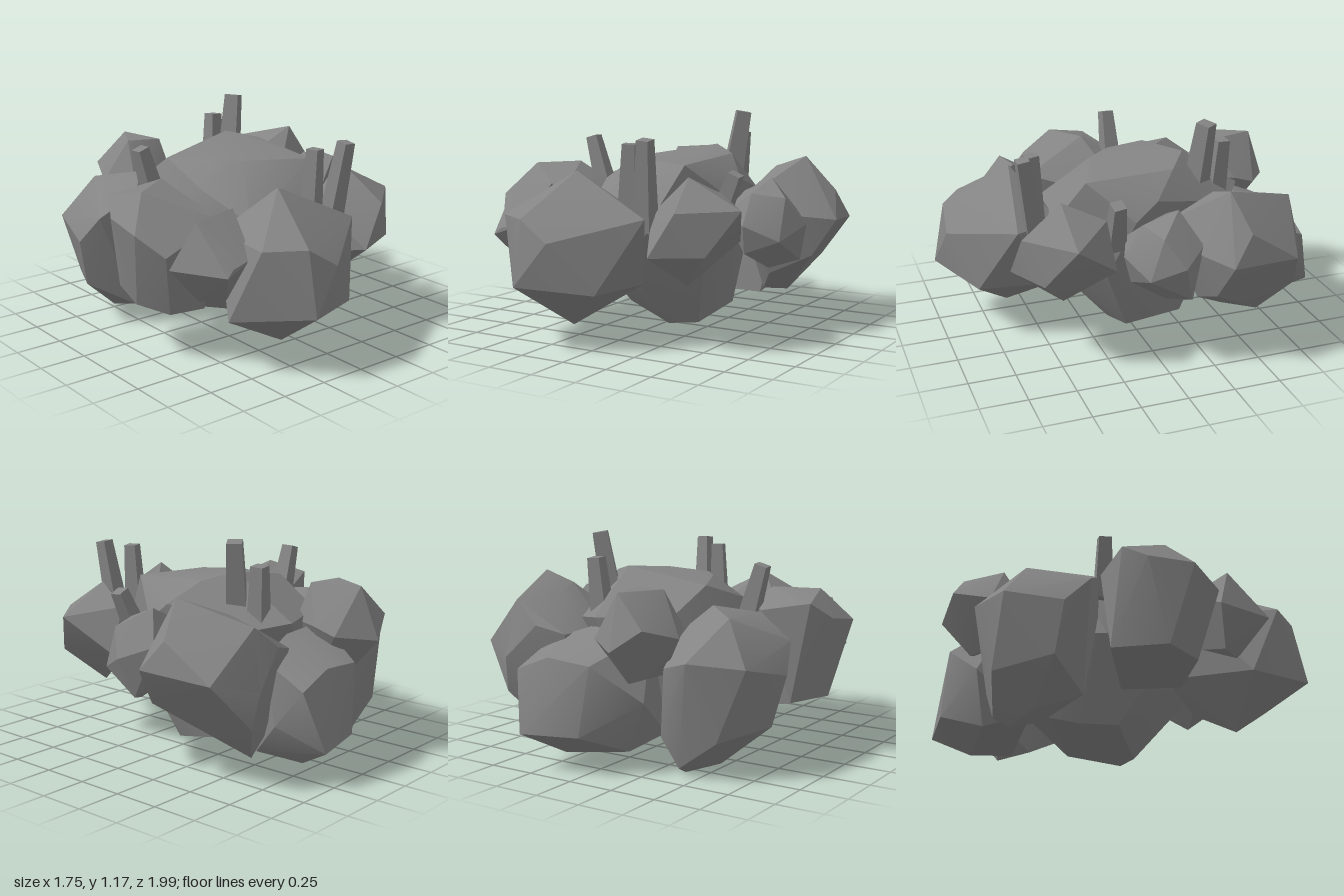
import * as THREE from 'three';
import { ConvexGeometry } from 'three/addons/geometries/ConvexGeometry.js';
import { toCreasedNormals } from 'three/addons/utils/BufferGeometryUtils.js';

const material = new THREE.MeshStandardMaterial({ color: 0x848484 });

// Shallow edges are smoothed, clear edges stay sharp.
function stone(name, geometry) {
  const mesh = new THREE.Mesh(toCreasedNormals(geometry, 0.45), material);
  mesh.name = name;
  return mesh;
}

// A faceted boulder: the convex hull of a few corner points (x, y, z).
function boulder(name, ...corners) {
  return stone(name, new ConvexGeometry(corners.map((c) => new THREE.Vector3(...c))));
}

// A leaning square spike that narrows towards its tip.
function crystal(name, base, tip, width, turn) {
  const from = new THREE.Vector3(...base);
  const axis = new THREE.Vector3(...tip).sub(from);
  const length = axis.length();
  const geometry = new THREE.CylinderGeometry(width * 0.55, width * 0.8, length, 4);
  geometry.rotateY(Math.PI / 4 + turn);
  geometry.translate(0, length / 2, 0);
  const mesh = stone(name, geometry);
  mesh.quaternion.setFromUnitVectors(new THREE.Vector3(0, 1, 0), axis.normalize());
  mesh.position.copy(from);
  return mesh;
}

export function createModel() {
  const group = new THREE.Group();
  group.name = 'rockCluster';

  // Large central rock
  group.add(boulder('coreRock',
    [-0.3, 0.9, -0.23], [-0.33, 0.8, 0.11], [-0.19, 0.92, 0.02], [-0.08, 0.92, 0.15],
    [0.27, 0.91, 0.29], [0.3, 0.94, -0.18], [0.15, 0.98, -0.29], [-0.25, 0.75, -0.5],
    [0.12, 0.75, -0.63], [0.3, 0.72, -0.5], [0.42, 0.82, -0.05], [0.43, 0.72, 0.07],
    [0.18, 0.66, 0.45], [-0.24, 0.66, 0.42], [-0.47, 0.5, -0.08], [-0.36, 0.55, -0.4],
    [0.34, 0.4, 0.2], [0.07, 0.02, 0.11], [0.22, 0.03, 0.05], [0.28, 0.1, -0.24],
    [-0.24, 0.09, 0.0], [-0.22, 0.1, -0.2], [-0.34, 0.3, 0.15], [0, 0.34, 0.4],
    [-0.1, 0.2, -0.5]));

  // Big front rock
  group.add(boulder('frontRock',
    [-0.2, 0.885, 0.58], [0.25, 0.67, 0.65], [-0.13, 0.56, 0.95], [-0.3, 0.667, 0.93],
    [-0.49, 0.665, 0.81], [-0.3, 0.335, 0.995], [0.07, 0.3, 0.83], [-0.2, 0.085, 0.62],
    [-0.565, 0.28, 0.65], [-0.42, 0.65, 0.38], [0.08, 0.64, 0.38], [0.12, 0.3, 0.45],
    [-0.25, 0.35, 0.25]));

  // Left side, seen from the front: side, rear and small front rocks
  group.add(boulder('sideRock',
    [-0.8, 0.82, -0.03], [-0.75, 0.87, 0.19], [-0.54, 0.88, 0.06], [-0.4, 0.78, 0.0],
    [-0.57, 0.78, -0.12], [-0.87, 0.735, 0.09], [-0.88, 0.7, 0.32], [-0.79, 0.6, 0.45],
    [-0.43, 0.72, 0.41], [-0.31, 0.65, 0.15], [-0.8, 0.295, 0.2], [-0.7, 0.26, 0.35],
    [-0.45, 0.22, 0.3], [-0.72, 0.3, -0.08], [-0.4, 0.22, 0.0]));
  group.add(boulder('rearSideRock',
    [-0.6, 0.79, -0.5], [-0.41, 0.82, -0.34], [-0.57, 0.77, -0.13], [-0.77, 0.65, -0.18],
    [-0.51, 0.6, -0.755], [-0.35, 0.55, -0.7], [-0.755, 0.57, -0.605], [-0.82, 0.5, -0.31],
    [-0.76, 0.24, -0.35], [-0.62, 0.2, -0.65], [-0.53, 0.04, -0.45], [-0.39, 0, -0.56],
    [-0.4, 0.04, -0.64], [-0.32, 0.2, -0.68], [-0.22, 0.1, -0.4], [-0.2, 0.5, -0.45],
    [-0.28, 0.7, -0.4], [-0.4, 0.6, -0.12], [-0.55, 0.12, -0.2]));
  group.add(boulder('smallFrontRock',
    [-0.78, 0.54, 0.46], [-0.66, 0.775, 0.52], [-0.42, 0.8, 0.5], [-0.59, 0.575, 0.72],
    [-0.63, 0.54, 0.73], [-0.46, 0.6, 0.7], [-0.52, 0.36, 0.58], [-0.63, 0.36, 0.5],
    [-0.5, 0.7, 0.33], [-0.42, 0.45, 0.42]));

  // Right side, seen from the front: rear, middle and front rocks
  group.add(boulder('rearLargeRock',
    [0.67, 0.93, -0.34], [0.5, 0.87, -0.32], [0.45, 0.83, -0.5], [0.25, 0.66, -0.71],
    [0.4, 0.7, -0.76], [0.55, 0.82, -0.73], [0.58, 0.52, -0.795], [0.8, 0.57, -0.67],
    [0.82, 0.75, -0.4], [0.875, 0.6, -0.285], [0.71, 0.62, -0.18], [0.38, 0.68, -0.1],
    [0.24, 0.65, -0.39], [0.75, 0.4, -0.25], [0.6, 0.33, -0.76], [0.44, 0.12, -0.63],
    [0.37, 0.15, -0.45], [0.5, 0.28, -0.25], [0.27, 0.3, -0.65]));
  group.add(boulder('middleRock',
    [0.58, 0.83, -0.1], [0.55, 0.76, 0.08], [0.72, 0.74, 0.03], [0.68, 0.66, -0.2],
    [0.8, 0.6, -0.06], [0.72, 0.52, 0.1], [0.74, 0.4, -0.12], [0.55, 0.6, 0.18],
    [0.54, 0.45, 0.14], [0.6, 0.355, -0.03], [0.41, 0.65, 0.12], [0.42, 0.45, -0.1],
    [0.42, 0.75, -0.1], [0.45, 0.6, -0.2]));
  group.add(boulder('frontSideRock',
    [0.39, 0.87, 0.46], [0.685, 0.72, 0.46], [0.435, 0.715, 0.68], [0.3, 0.49, 0.71],
    [0.56, 0.5, 0.6], [0.385, 0.32, 0.455], [0.17, 0.46, 0.5], [0.46, 0.77, 0.24],
    [0.56, 0.53, 0.22], [0.2, 0.68, 0.5], [0.25, 0.6, 0.28]));

  // Rear rocks: a broad low one and a small one perched beside it
  group.add(boulder('rearLowRock',
    [-0.05, 0.56, -0.9], [0.2, 0.58, -0.91], [0.4, 0.5, -0.91], [0.32, 0.19, -0.995],
    [0.41, 0.3, -0.75], [0.0, 0.2, -0.93], [0.2, 0.06, -0.77], [-0.14, 0.1, -0.7],
    [0.3, 0.1, -0.55], [-0.26, 0.37, -0.74], [0.15, 0.7, -0.62], [-0.2, 0.7, -0.58],
    [0.38, 0.62, -0.65], [-0.2, 0.15, -0.45]));
  group.add(boulder('perchedRock',
    [-0.3, 0.925, -0.62], [-0.18, 0.925, -0.84], [-0.12, 0.92, -0.57], [-0.2, 0.65, -0.94],
    [-0.35, 0.76, -0.88], [-0.43, 0.7, -0.68], [-0.34, 0.72, -0.5], [-0.24, 0.65, -0.475],
    [-0.08, 0.72, -0.51], [0, 0.72, -0.68], [-0.01, 0.68, -0.8], [-0.2, 0.47, -0.78],
    [-0.3, 0.5, -0.62], [-0.12, 0.5, -0.65]));

  // Crystals: base, tip, width, turn
  group.add(
    crystal('tallCrystal', [0.2, 0.7, -0.34], [0.27, 1.16, -0.375], 0.1, 0.6),
    crystal('rearCrystal', [0.18, 0.6, -0.46], [0.21, 1.04, -0.49], 0.09, 0.1),
    crystal('frontCrystal', [0.07, 0.6, 0.52], [0.09, 1.03, 0.53], 0.085, 0.3),
    crystal('frontTallCrystal', [0.19, 0.6, 0.54], [0.23, 1.06, 0.61], 0.085, 0),
    crystal('sideCrystal', [-0.47, 0.7, -0.1], [-0.56, 1.01, -0.1], 0.085, 0.1),
    crystal('shortCrystal', [0.4, 0.6, 0.18], [0.52, 0.87, 0.2], 0.085, 0.1));

  return group;
}
